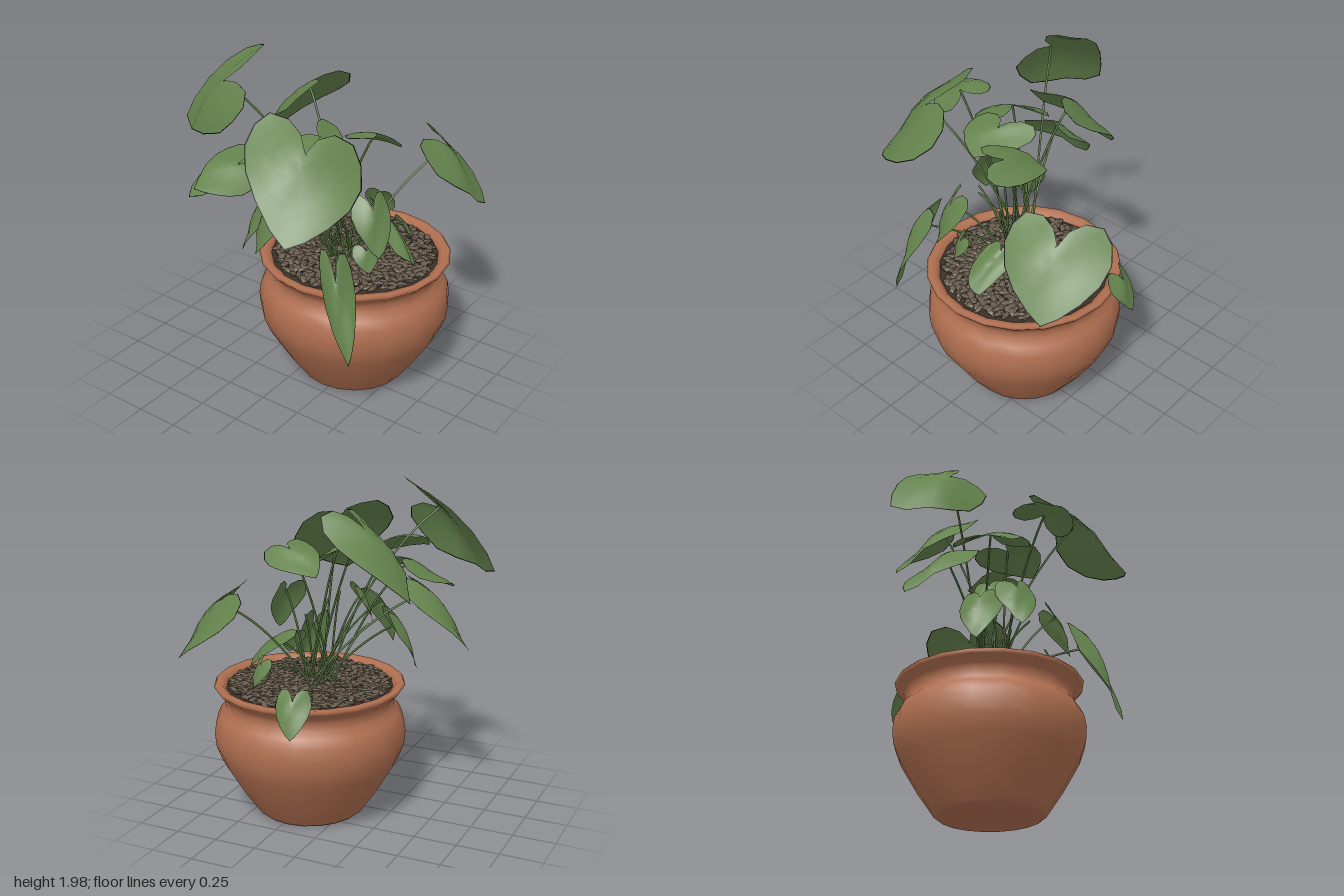
import * as THREE from 'three';
import { mergeGeometries } from 'three/addons/utils/BufferGeometryUtils.js';

const V = (a) => new THREE.Vector3(...a);

// Half heart outline: u across the lobes, v from lobes (0) to tip (1)
const HALF = [[0, 0.25], [0.2, 0.1], [0.55, 0], [1, 0], [1.27, 0.13], [1.38, 0.32], [1.22, 0.53], [0.85, 0.73], [0.4, 0.9], [0, 1]];
const OUTLINE = [...HALF, ...HALF.slice(1, -1).reverse().map(([u, v]) => [-u, v])];

// Large leaves: first lobe, second lobe, tip
const LARGE_LEAVES = [
  [[-0.36, 1.73, -0.24], [-0.1, 2.0, -0.29], [-0.16, 1.47, -0.78]],
  [[-0.02, 1.81, -0.02], [0.27, 1.81, 0.04], [0.2, 1.33, -0.43]],
  [[-0.33, 1.5, 0], [-0.17, 1.46, -0.28], [-0.62, 1.24, -0.38]],
  [[-0.28, 1.4, -0.25], [-0.06, 1.4, -0.3], [-0.15, 1.0, -0.65]],
  [[-0.45, 1.58, -0.1], [-0.58, 1.48, 0.08], [-0.83, 1.44, -0.15]],
  [[-0.45, 1.8, 0.05], [-0.28, 1.66, 0.46], [-0.8, 1.25, 0.4]],
  [[-0.28, 1.58, 0.08], [0.03, 1.6, 0.05], [-0.18, 1.42, 0.3]],
  [[-0.04, 1.6, 0.37], [0.12, 1.54, 0.5], [0.2, 1.42, 0.13]],
  [[0.37, 1.44, 0.5], [0.74, 1.41, 0.32], [0.68, 1.0, 0.74]],
  [[0.05, 1.03, 0.45], [0.2, 1.12, 0.27], [0.13, 0.81, 0.61]],
  [[-0.44, 1.08, 0.36], [-0.38, 1.06, 0.48], [-0.54, 0.5, 0.62]],
];

// Small leaves, which all droop outwards: x, y, z of the top and length
const SMALL_LEAVES = [
  [-0.13, 1.31, 0.46, 0.36], [0.63, 0.92, 0.05, 0.28], [-0.21, 1.18, -0.14, 0.42],
  [-0.31, 1.26, 0.01, 0.39], [0.31, 0.96, 0.4, 0.19], [-0.13, 1.0, 0.44, 0.17],
  [-0.1, 1.34, 0.03, 0.27],
];

// Lobes and tip of a small leaf, leaning away from the middle of the plant
function droopingLeaf([x, y, z, length]) {
  const top = V([x, y, z]);
  const out = V([x - 0.03, 0, z - 0.2]).normalize();
  const side = V([out.z, 0, -out.x]).multiplyScalar(0.035 + 0.13 * length);
  const tip = top.clone().addScaledVector(out, 0.4 * length);
  tip.y -= 0.9 * length;
  return [top.clone().sub(side), top.clone().add(side), tip];
}

// Maps (u, v) onto an arched blade with drooping sides
function bladeSurface(lobeA, lobeB, tip) {
  const mid = lobeA.clone().add(lobeB).multiplyScalar(0.5);
  const half = lobeB.clone().sub(mid);
  const axis = tip.clone().sub(mid);
  const normal = half.clone().cross(axis).normalize();
  if (normal.y < 0) normal.negate();
  const len = axis.length();
  return (u, v) => mid.clone().addScaledVector(half, u).addScaledVector(axis, v)
    .addScaledVector(normal, len * (0.3 * v * (1 - v) - 0.06 * u * u + 0.02 * Math.sin(u * 3 + v * 7)));
}

// Heart-shaped blade made of rings around the midrib; the last ring is the dark edge
function leafGeometry(surface) {
  const centre = [0, 0.42], n = OUTLINE.length;
  const pos = [...surface(...centre).toArray()], index = [];
  let edgeStart = 0;
  [0.25, 0.5, 0.75, 0.98, 1].forEach((s, r) => {
    edgeStart = index.length;
    OUTLINE.forEach(([u, v], i) => {
      pos.push(...surface(u * s, centre[1] + (v - centre[1]) * s).toArray());
      const j = (i + 1) % n, p = 1 + r * n, q = p - n;
      if (r === 0) index.push(0, p + i, p + j);
      else index.push(q + i, p + i, p + j, q + i, p + j, q + j);
    });
  });
  const g = new THREE.BufferGeometry();
  g.setAttribute('position', new THREE.Float32BufferAttribute(pos, 3));
  g.setIndex(index);
  g.addGroup(0, edgeStart, 0);
  g.addGroup(edgeStart, index.length - edgeStart, 1);
  g.computeVertexNormals();
  return g;
}

// Thin stem that rises from the soil and bends over to the leaf
function stemGeometry(end, i) {
  const base = new THREE.Vector3(0.05 + 0.07 * Math.cos(i * 2.4), 0.75, 0.18 + 0.07 * Math.sin(i * 2.4));
  const bend = base.clone().lerp(end, 0.5);
  bend.y = base.y + (end.y - base.y) * 0.72 + 0.03;
  return new THREE.TubeGeometry(new THREE.QuadraticBezierCurve3(base, bend, end), 10, 0.0065, 5);
}

// Layer of elongated stones
function pebbleGeometry(radius) {
  let seed = 7;
  const rnd = () => (seed = (seed * 16807) % 2147483647) / 2147483647;
  const parts = [], count = 520;
  for (let i = 0; i < count; i++) {
    const r = radius * Math.sqrt((i + 0.5) / count), a = i * 2.39996 + rnd() * 0.06;
    const g = new THREE.IcosahedronGeometry(1, 0);
    g.scale(0.034 + rnd() * 0.012, 0.012, 0.018 + rnd() * 0.007);
    g.rotateZ((rnd() - 0.5) * 0.5);
    g.rotateY(rnd() * Math.PI);
    g.translate(r * Math.cos(a), 0.772 + rnd() * 0.014, r * Math.sin(a));
    parts.push(g);
  }
  return mergeGeometries(parts);
}

export function createModel() {
  const model = new THREE.Group();
  const material = (name, color, side = THREE.FrontSide) => {
    const m = new THREE.MeshStandardMaterial({ color, side });
    m.name = name;
    return m;
  };
  const clay = material('terracotta', 0xb06f50, THREE.DoubleSide);
  const gravel = material('gravel brown', 0x685c4c);
  const soilDark = material('dark soil', 0x3a3128);
  const green = material('leaf green', 0x64834d, THREE.DoubleSide);
  const edge = material('leaf edge', 0x11140d, THREE.DoubleSide);
  const stemGreen = material('stem green', 0x56733f);
  const add = (name, geometry, mat, parent) => {
    const mesh = new THREE.Mesh(geometry, mat);
    mesh.name = name;
    parent.add(mesh);
  };

  // Pot with its filling
  const pot = new THREE.Group();
  pot.name = 'pot';
  pot.position.set(0.11, 0, 0.22);
  model.add(pot);
  const lathe = (pts) => new THREE.LatheGeometry(pts.map(([x, y]) => new THREE.Vector2(x, y)), 20);
  const profile = [[0, 0], [0.3, 0], [0.32, 0.015], [0.42, 0.16], [0.52, 0.33], [0.553, 0.42], [0.56, 0.5], [0.55, 0.57],
    [0.525, 0.62], [0.492, 0.655], [0.492, 0.7], [0.505, 0.73], [0.545, 0.768]];
  add('potBody', lathe(profile), clay, pot);
  add('potRim', lathe([[0.545, 0.768], [0.555, 0.782], [0.545, 0.795], [0.51, 0.793], [0.485, 0.77], [0.47, 0.72]]), clay, pot);
  add('soil', new THREE.CircleGeometry(0.485, 20).rotateX(-Math.PI / 2).translate(0, 0.768, 0), soilDark, pot);
  add('pebbles', pebbleGeometry(0.455), gravel, pot);

  // Leaves on their stems
  const plant = new THREE.Group();
  plant.name = 'plant';
  model.add(plant);
  const leaves = [...LARGE_LEAVES.map((leaf) => leaf.map(V)), ...SMALL_LEAVES.map(droopingLeaf)];
  leaves.forEach((leaf, i) => {
    const surface = bladeSurface(...leaf);
    add('leaf', leafGeometry(surface), [green, edge], plant);
    add('stem', stemGeometry(surface(0, 0.26), i), stemGreen, plant);
  });

  // Young shoots without leaves
  [[-0.2, 1.2, 0.25], [-0.05, 1.3, 0.1], [-0.3, 1.05, 0.15], [0.0, 1.15, 0.3], [-0.12, 1.1, -0.05]]
    .forEach((p, i) => add('shoot', stemGeometry(V(p), i + 0.5), stemGreen, plant));

  return model;
}
